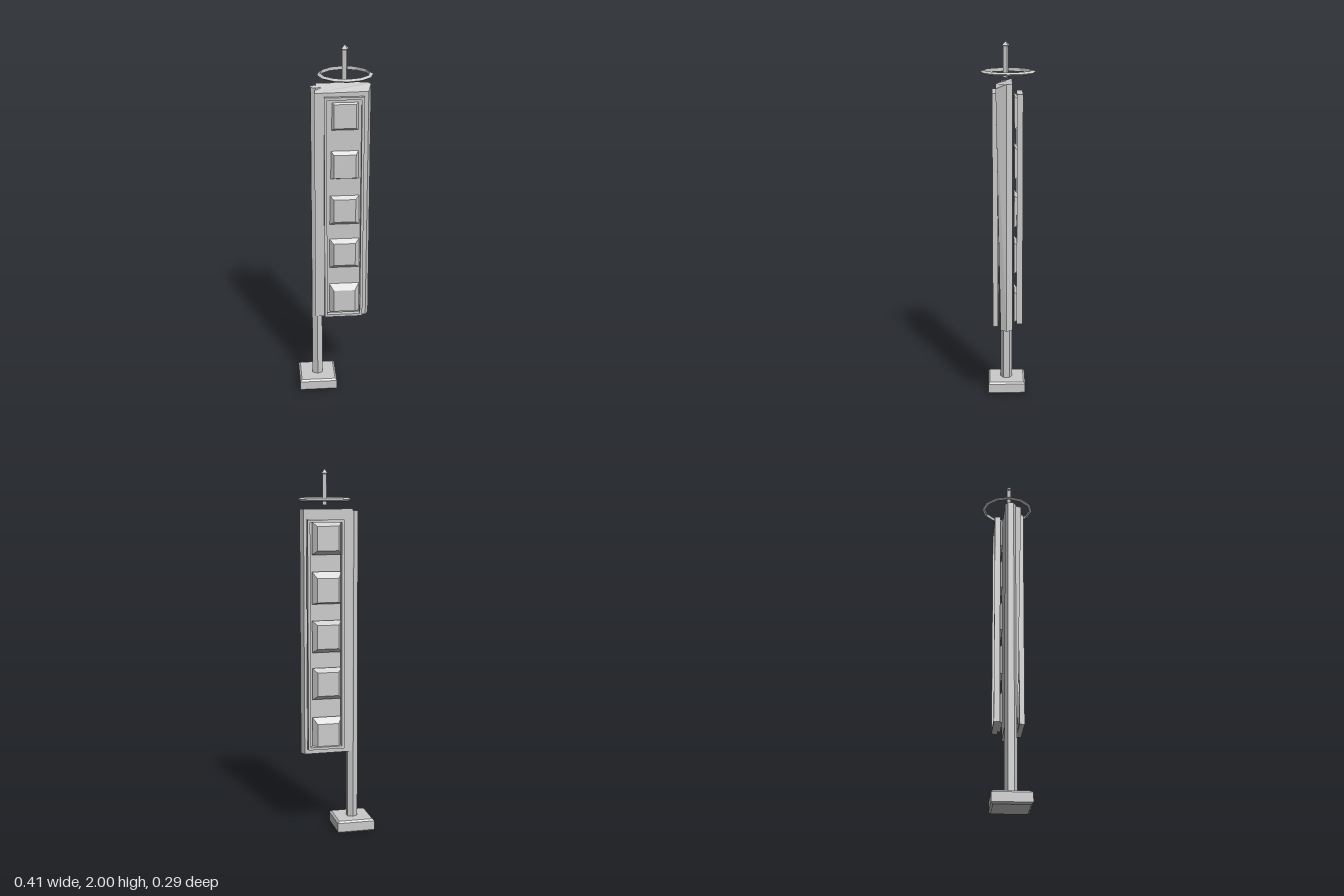
import * as THREE from 'three';

const mat = new THREE.MeshStandardMaterial({ color: 0xcccccc, flatShading: true, side: THREE.DoubleSide });

function add(parent, name, geometry, x = 0, y = 0, z = 0) {
  const mesh = new THREE.Mesh(geometry, mat);
  mesh.name = name;
  mesh.position.set(x, y, z);
  parent.add(mesh);
  return mesh;
}

// Square frustum along +z, wide end at z = 0
function frustum(w0, h0, w1, h1, depth, shiftY = 0) {
  const g = new THREE.BoxGeometry(1, 1, 1);
  const p = g.attributes.position;
  for (let i = 0; i < p.count; i++) {
    const outer = p.getZ(i) > 0;
    p.setXYZ(i, p.getX(i) * (outer ? w1 : w0), p.getY(i) * (outer ? h1 : h0) + (outer ? shiftY : 0), outer ? depth : 0);
  }
  g.computeVertexNormals();
  return g;
}

// Frame of four slim bars
function frame(name, x0, x1, y0, y1, z0, z1) {
  const group = new THREE.Group();
  group.name = name;
  const t = 0.014, d = z1 - z0, z = (z0 + z1) / 2;
  for (const x of [x0 + t / 2, x1 - t / 2]) {
    add(group, name + 'Upright', new THREE.BoxGeometry(t, y1 - y0, d), x, (y0 + y1) / 2, z);
  }
  for (const y of [y0 + t / 2, y1 - t / 2]) {
    add(group, name + 'Rail', new THREE.BoxGeometry(x1 - x0 - 2 * t, t, d), (x0 + x1) / 2, y, z);
  }
  return group;
}

export function createModel() {
  const model = new THREE.Group();
  model.name = 'hangingSign';

  // Bevelled foot block
  const foot = new THREE.Shape([[-0.095, -0.095], [0.095, -0.095], [0.095, 0.095], [-0.095, 0.095]].map(([x, y]) => new THREE.Vector2(x, y)));
  const footGeo = new THREE.ExtrudeGeometry(foot, { depth: 0.05, bevelThickness: 0.01, bevelSize: 0.01, bevelSegments: 1 });
  footGeo.rotateX(-Math.PI / 2);
  add(model, 'foot', footGeo, -0.1, 0.01, 0.006);

  // Six-sided pole, slightly tapered
  const pole = new THREE.CylinderGeometry(0.031, 0.034, 1.71, 6);
  add(model, 'pole', pole, -0.1, 0.925, 0.007).scale.x = 0.98;

  // Slab board: plan outline extruded upward, its crown chamfered
  const plan = [[-0.11, 0.042], [0.172, 0.042], [0.19, 0.01], [0.175, -0.022], [-0.095, -0.022]];
  const board = new THREE.Shape(plan.map(([x, z]) => new THREE.Vector2(x, -z)));
  const boardGeo = new THREE.ExtrudeGeometry(board, { depth: 1.34, bevelEnabled: false });
  boardGeo.rotateX(-Math.PI / 2);
  const p = boardGeo.attributes.position;
  for (let i = 0; i < p.count; i++) {
    if (p.getY(i) < 1) continue;
    if (p.getZ(i) > 0.03) { p.setY(i, 1.315); p.setZ(i, 0.066); }
    if (p.getX(i) < -0.1) p.setY(i, 1.31);
  }
  boardGeo.computeVertexNormals();
  add(model, 'board', boardGeo, 0, 0.45, 0);

  // Raised frames on both faces
  model.add(frame('frontFrame', -0.06, 0.15, 0.465, 1.74, 0.056, 0.084));
  model.add(frame('backFrame', -0.036, 0.165, 0.485, 1.735, -0.077, -0.045));

  // Five tapered panels on each face
  for (const side of [1, -1]) {
    [1.635, 1.37, 1.105, 0.845, 0.57].forEach((y, i) => {
      const tilt = i === 1 || i === 4 ? -0.012 : 0;
      const panel = add(model, side > 0 ? 'frontPanel' : 'backPanel',
        frustum(0.165, 0.175, 0.118, 0.13, side > 0 ? 0.024 : 0.028, tilt), 0.05, y, side > 0 ? 0.05 : -0.032);
      if (side < 0) panel.rotation.y = Math.PI;
    });
  }

  // Thin floating ring
  const ring = new THREE.TorusGeometry(0.136, 0.011, 3, 12);
  ring.rotateX(Math.PI / 2);
  add(model, 'ring', ring, 0.055, 1.84, 0);

  // Top spike with a small pointed head
  const spike = new THREE.CylinderGeometry(0.016, 0.016, 0.16, 4);
  spike.rotateY(0.5);
  add(model, 'spike', spike, 0.052, 1.89, 0.012);
  const head = new THREE.LatheGeometry([[0, 0], [0.023, 0.022], [0, 0.045]].map(([x, y]) => new THREE.Vector2(x, y)), 4);
  head.rotateY(0.5);
  add(model, 'spikeHead', head, 0.052, 1.955, 0.012);

  return model;
}
